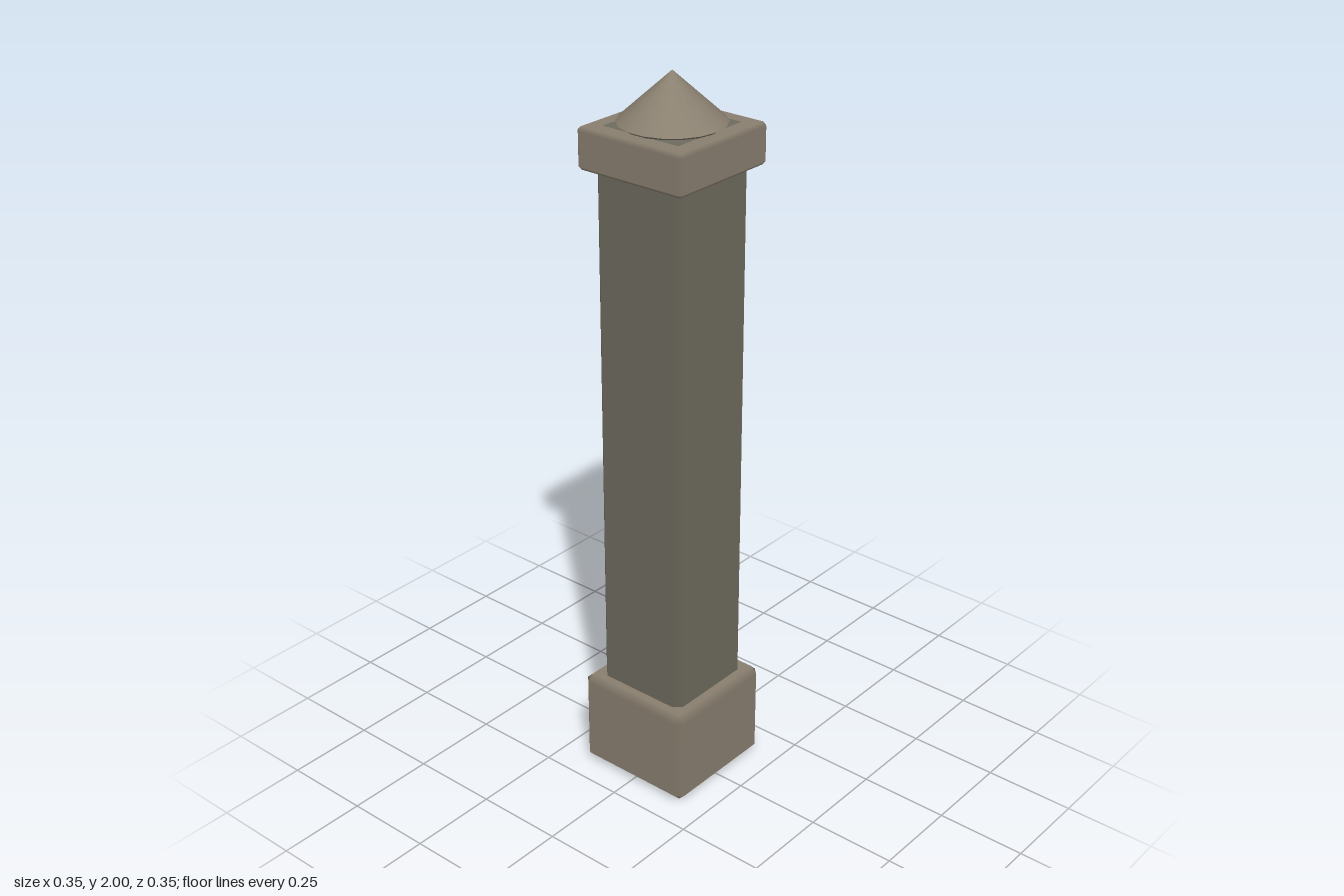
import * as THREE from 'three';
import { ConvexGeometry } from 'three/addons/geometries/ConvexGeometry.js';

const stone = new THREE.MeshStandardMaterial({ color: 0x8a8070 });
const darkStone = new THREE.MeshStandardMaterial({ color: 0x6f6b5f });

// Square block with chamfered edges: flat faces, normals blended over the chamfers
function chamferedBlock(name, half, bottom, top, bevel, material) {
  const size = [half, (top - bottom) / 2, half];
  const points = [];
  for (let axis = 0; axis < 3; axis++)
    for (const sx of [-1, 1]) for (const sy of [-1, 1]) for (const sz of [-1, 1]) {
      const p = [sx, sy, sz].map((s, i) => s * (size[i] - (i === axis ? 0 : bevel)));
      points.push(new THREE.Vector3(...p));
    }
  const geometry = new ConvexGeometry(points);
  const pos = geometry.attributes.position, normal = geometry.attributes.normal;
  for (let i = 0; i < pos.count; i++) {
    const p = [pos.getX(i), pos.getY(i), pos.getZ(i)];
    normal.setXYZ(i, ...p.map((v, k) => (Math.abs(v) > size[k] - bevel / 2 ? Math.sign(v) : 0)));
  }
  const mesh = new THREE.Mesh(geometry, material);
  mesh.name = name;
  mesh.position.y = (bottom + top) / 2;
  return mesh;
}

// Round section standing between two heights
function roundSection(name, rTop, rBottom, bottom, top, openEnded) {
  const mesh = new THREE.Mesh(
    new THREE.CylinderGeometry(rTop, rBottom, top - bottom, 18, 1, openEnded), stone);
  mesh.name = name;
  mesh.position.y = (bottom + top) / 2;
  return mesh;
}

export function createModel() {
  const group = new THREE.Group();
  group.name = 'post';
  group.add(
    // The shaft runs the full height, its ends just showing in the plinth and cap
    chamferedBlock('shaft', 0.139, 0, 1.866, 0.021, darkStone),
    chamferedBlock('plinth', 0.176, 0.001, 0.28, 0.02, stone),
    chamferedBlock('cap', 0.167, 1.755, 1.865, 0.01, stone),
    // Pointed finial with a small undercut rim
    roundSection('finialRim', 0.139, 0.122, 1.862, 1.873, false),
    roundSection('finialCone', 0, 0.139, 1.873, 2, true),
  );
  return group;
}
